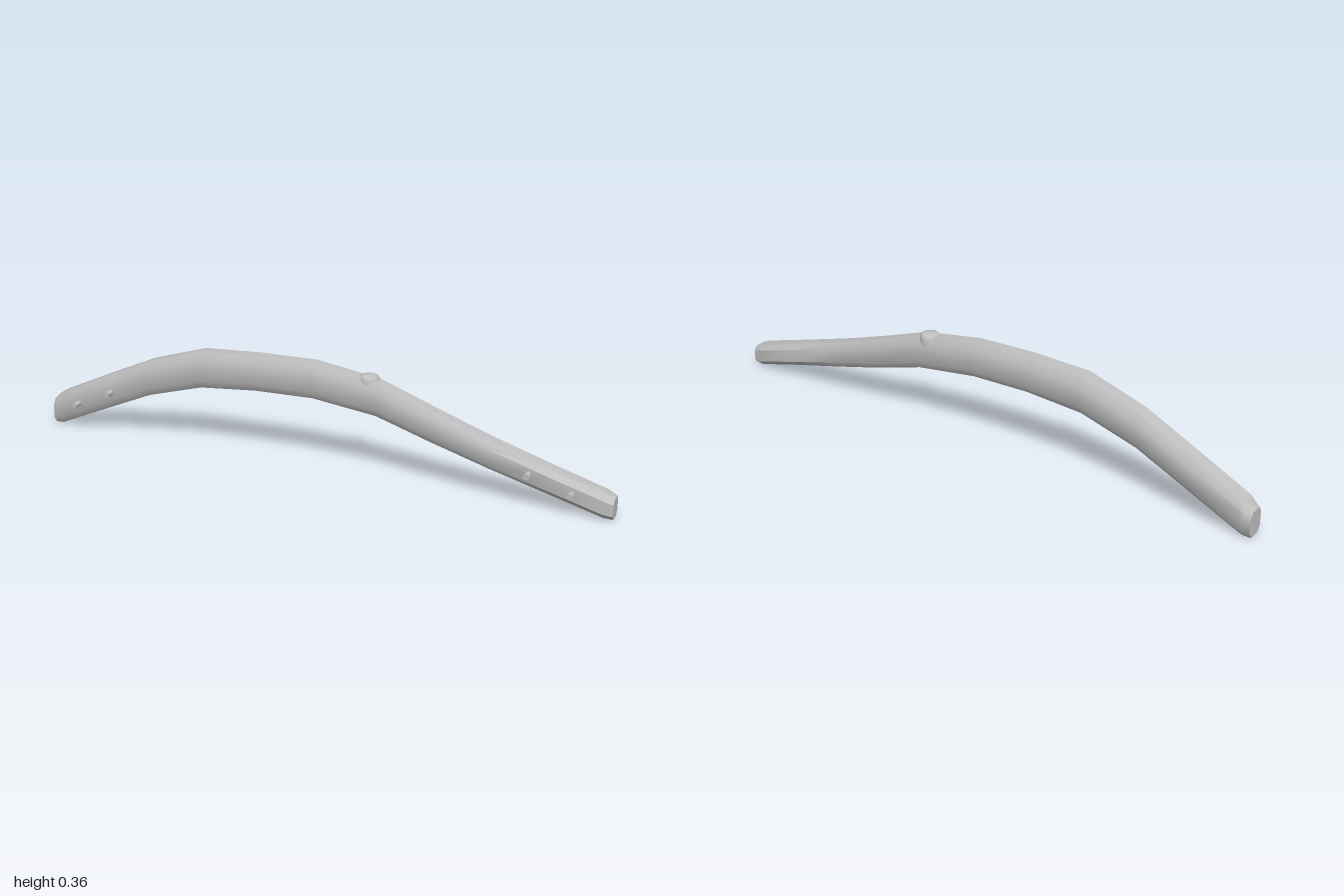
import * as THREE from 'three';
import { toCreasedNormals } from 'three/addons/utils/BufferGeometryUtils.js';

// Stations along the bar: x, bottom, top, back z, front z
const STATIONS = [
  [-1, 0.005, 0.093, -0.053, 0.015],
  [-0.97, 0.008, 0.121, -0.058, 0.021],
  [-0.8, 0.083, 0.2, -0.054, 0.028],
  [-0.6, 0.17, 0.29, -0.047, 0.036],
  [-0.4, 0.227, 0.352, -0.045, 0.037],
  [-0.2, 0.243, 0.362, -0.049, 0.03],
  [0, 0.243, 0.362, -0.056, 0.018],
  [0.22, 0.214, 0.328, -0.058, 0.013],
  [0.4, 0.16, 0.264, -0.055, 0.019],
  [0.6, 0.106, 0.197, -0.049, 0.029],
  [0.8, 0.055, 0.137, -0.046, 0.035],
  [0.97, 0.01, 0.088, -0.043, 0.035],
  [1, 0.008, 0.075, -0.033, 0.03],
];

// Chamfered eight-sided section, anticlockwise seen from +x
function section([x, y0, y1, z0, z1]) {
  const cz = (z1 - z0) * 0.22, cy = (y1 - y0) * 0.22;
  return [
    [z1 - cz, y0], [z1, y0 + cy], [z1, y1 - cy], [z1 - cz, y1],
    [z0 + cz, y1], [z0, y1 - cy], [z0, y0 + cy], [z0 + cz, y0],
  ].map(([z, y]) => [x, y, z]);
}

function barGeometry() {
  const rings = STATIONS.map(section);
  const n = 8, last = rings.length - 1, pos = [];
  const tri = (a, b, c) => pos.push(...a, ...b, ...c);
  for (let i = 0; i < last; i++) {
    for (let j = 0; j < n; j++) {
      const k = (j + 1) % n;
      const a = rings[i][j], b = rings[i + 1][j], c = rings[i + 1][k], d = rings[i][k];
      tri(a, b, c);
      tri(a, c, d);
    }
  }
  // End caps
  for (let j = 1; j < n - 1; j++) {
    tri(rings[0][0], rings[0][j], rings[0][j + 1]);
    tri(rings[last][0], rings[last][j + 1], rings[last][j]);
  }
  const geo = new THREE.BufferGeometry();
  geo.setAttribute('position', new THREE.Float32BufferAttribute(pos, 3));
  return toCreasedNormals(geo, 0.75);
}

export function createModel() {
  const model = new THREE.Group();
  model.name = 'curvedBar';
  const grey = new THREE.MeshStandardMaterial({ color: 0xc0c0c0, side: THREE.DoubleSide });
  grey.name = 'light grey';

  const add = (name, geo, x, y, z) => {
    const mesh = new THREE.Mesh(geo, grey);
    mesh.name = name;
    mesh.position.set(x, y, z);
    model.add(mesh);
    return mesh;
  };

  add('bar', barGeometry(), 0, 0, 0);

  // Low domed button on the upper edge
  const profile = [[0.033, -0.025], [0.034, 0.006], [0.029, 0.014], [0.018, 0.018], [0, 0.019]]
    .map(([r, y]) => new THREE.Vector2(r, y));
  add('button', toCreasedNormals(new THREE.LatheGeometry(profile, 16), 0.7), 0.187, 0.325, -0.025);

  // Small mounting pegs on the front face
  const peg = toCreasedNormals(new THREE.CylinderGeometry(0.01, 0.01, 0.05, 8), 0.9);
  peg.rotateX(Math.PI / 2);
  const pegs = [[-0.886, 0.1, 0.03], [-0.748, 0.162, 0.034], [0.735, 0.117, 0.033], [0.872, 0.077, 0.034]];
  for (const [x, y, z] of pegs) add('peg', peg, x, y, z);

  return model;
}
